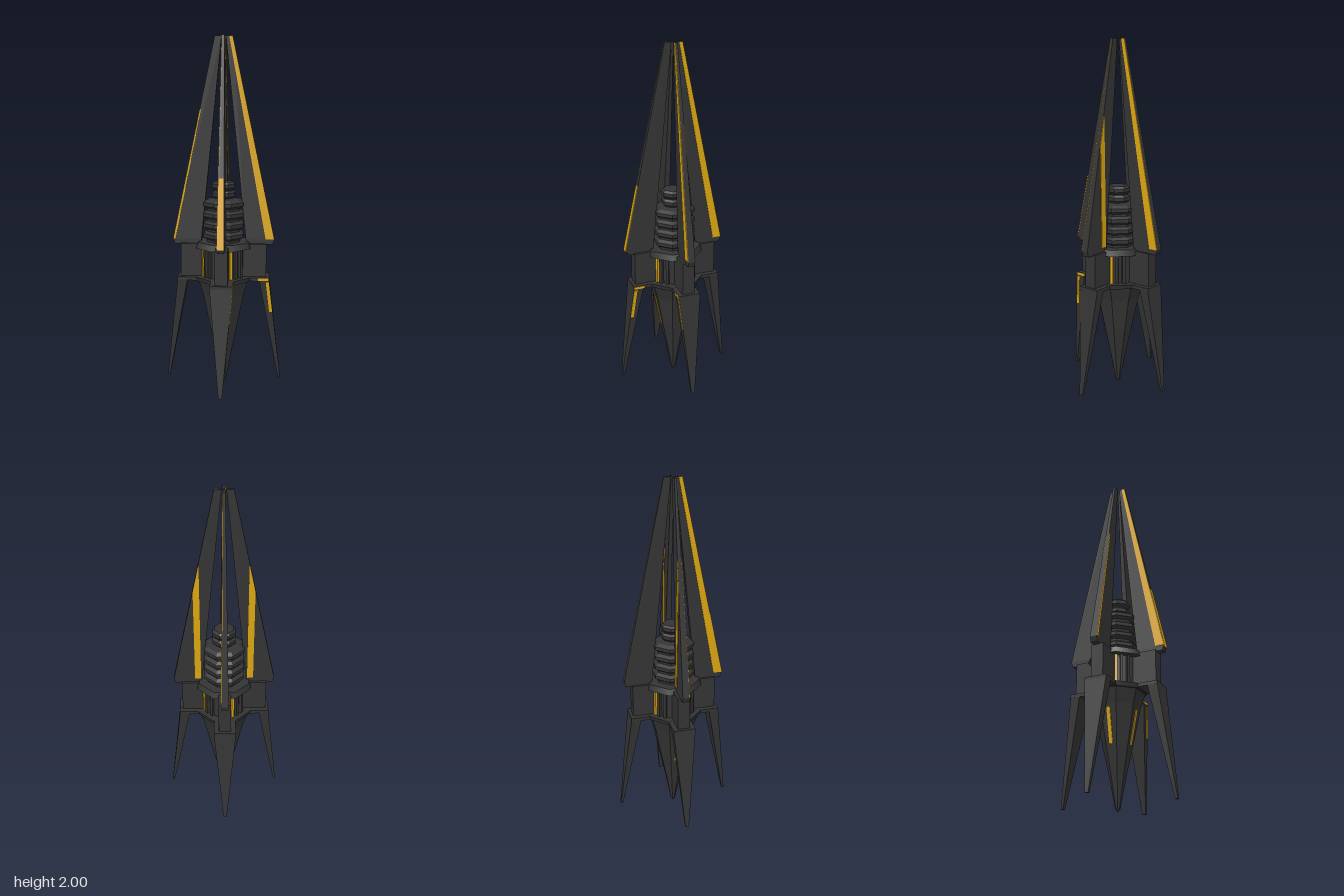
import * as THREE from 'three';

const dark = new THREE.MeshStandardMaterial({ color: 0x343434 });
const gold = new THREE.MeshStandardMaterial({ color: 0xdaa510 });
dark.name = 'charcoal';
gold.name = 'gold';

function add(parent, name, geometry, material) {
  const mesh = new THREE.Mesh(geometry, material);
  mesh.name = name;
  parent.add(mesh);
  return mesh;
}

// Box from inner to outer radius (x), between heights y0..y1 and sides t0..t1 (z)
function block(r0, r1, y0, y1, t0, t1) {
  return new THREE.BoxGeometry(r1 - r0, y1 - y0, t1 - t0)
    .translate((r0 + r1) / 2, (y0 + y1) / 2, (t0 + t1) / 2);
}

// Tapered solid through rectangles [y, r0, r1, t0, t1], listed from bottom to top
function loft(sections) {
  const rings = sections.map(([y, r0, r1, t0, t1]) =>
    [[r0, y, t1], [r1, y, t1], [r1, y, t0], [r0, y, t0]]);
  const pos = [];
  const quad = (a, b, c, d) => pos.push(...a, ...b, ...c, ...a, ...c, ...d);
  for (let i = 0; i + 1 < rings.length; i++) {
    for (let k = 0; k < 4; k++) {
      const n = (k + 1) % 4;
      quad(rings[i][k], rings[i][n], rings[i + 1][n], rings[i + 1][k]);
    }
  }
  const [a, b, c, d] = rings[0];
  quad(d, c, b, a);
  quad(...rings[rings.length - 1]);
  const g = new THREE.BufferGeometry();
  g.setAttribute('position', new THREE.Float32BufferAttribute(pos, 3));
  g.computeVertexNormals();
  return g;
}

// Eight-sided flat-shaded turned part
function octagonal(points) {
  const g = new THREE.LatheGeometry(points.map(([r, y]) => new THREE.Vector2(r, y)), 8).toNonIndexed();
  g.computeVertexNormals();
  return g;
}

// Spire edges and half thickness at a height
const { lerp, mapLinear } = THREE.MathUtils;
const outer = (y) => mapLinear(y, 0.87, 2, 0.29, 0.05);
const inner = (y) => mapLinear(y, 0.84, 2, 0.13, 0.012);
const half = (y) => mapLinear(y, 0.84, 2, 0.02, 0.006);

// Thin plate on one side of a spire; rows are [y, r0, r1]
function sidePlate(side, rows) {
  return loft(rows.map(([y, r0, r1]) => {
    const a = half(y) - 0.001, b = half(y) + 0.003;
    return side > 0 ? [y, r0, r1, a, b] : [y, r0, r1, -b, -a];
  }));
}
const edgeStrip = (side, y1, w0, w1) => sidePlate(side, [
  [0.87, outer(0.87) - w0, outer(0.87)],
  [y1, outer(y1) - w1, outer(y1)],
]);
const uprightBar = (side) => sidePlate(side, [
  [0.87, 0.133, 0.168],
  [1.44, 0.133, 0.168],
  [1.59, 0.133, 0.136],
]);

// Foot dimensions at a height
function footRow(y) {
  const k = (0.64 - y) / 0.6;
  return { r0: lerp(0.205, 0.32, k), r1: lerp(0.262, 0.333, k), w: lerp(0.063, 0.01, k) };
}

function createArm(kind) {
  const arm = new THREE.Group();
  arm.name = kind + 'Arm';

  // Upper spire
  add(arm, 'spire', loft([0.84, 0.87, 2].map((y) =>
    [y, inner(y), y < 0.85 ? 0.28 : outer(y), -half(y), half(y)])), dark);

  // Arm body, flange and tapering foot
  add(arm, 'armBody', block(0.1, 0.245, 0.65, 0.845, -0.035, 0.035), dark);
  add(arm, 'flange', block(0.1, 0.262, 0.635, 0.655, -0.063, 0.063), dark);
  add(arm, 'foot', loft([0.04, 0.64].map((y) => {
    const f = footRow(y);
    return [y, f.r0, f.r1, -f.w, f.w];
  })), dark);

  // Gold trim on the spires
  if (kind === 'left') {
    add(arm, 'uprightBar', uprightBar(1), gold);
    add(arm, 'edgeTrim', edgeStrip(-1, 1.6, 0.014, 0.008), gold);
  } else {
    add(arm, 'edgeStrip', edgeStrip(1, 2, 0.05, 0.02), gold);
  }
  if (kind === 'right') add(arm, 'uprightBar', uprightBar(-1), gold);
  if (kind === 'front') {
    add(arm, 'outerPanel', loft([0.86, 1.24].map((y) =>
      [y, outer(y) - 0.002, outer(y) + 0.003, -half(y), half(y)])), gold);
  }

  // Gold trim on the foot
  if (kind === 'right' || kind === 'front') {
    const s = kind === 'right' ? 1 : -1;
    add(arm, 'footTrim', loft([0.45, 0.63].map((y) => {
      const f = footRow(y), a = s * (f.w - 0.001), b = s * (f.w + 0.003);
      return [y, f.r1 - 0.02, f.r1 - 0.002, Math.min(a, b), Math.max(a, b)];
    })), gold);
    add(arm, 'flangeTrim', block(0.2, 0.26, 0.638, 0.652, s > 0 ? 0.062 : -0.066, s > 0 ? 0.066 : -0.062), gold);
  }
  return arm;
}

export function createModel() {
  const model = new THREE.Group();
  model.name = 'spireTower';

  // Central hub: recessed drum between two octagonal plates
  add(model, 'hubDrum', new THREE.CylinderGeometry(0.12, 0.12, 0.19, 8).translate(0, 0.74, 0), dark);
  add(model, 'hubBase', new THREE.CylinderGeometry(0.167, 0.16, 0.025, 8).translate(0, 0.643, 0), dark);
  add(model, 'hubTop', new THREE.CylinderGeometry(0.155, 0.167, 0.035, 8).translate(0, 0.84, 0), dark);

  // Pointed keel below
  add(model, 'keel', octagonal([[0, 0], [0.013, 0.015], [0.045, 0.18], [0.085, 0.36],
    [0.125, 0.55], [0.152, 0.635]]), dark);

  // Ribbed core, wide ribs then narrow ribs
  const profile = [[0.1, 0.85]];
  for (let i = 0; i < 4; i++) {
    const y = 0.87 + i * 0.06;
    profile.push([0.1, y], [0.122, y + 0.014], [0.122, y + 0.034], [0.1, y + 0.048]);
  }
  for (let i = 0; i < 2; i++) {
    const y = 1.105 + i * 0.05;
    profile.push([0.058, y], [0.07, y + 0.012], [0.07, y + 0.032], [0.058, y + 0.044]);
  }
  profile.push([0, 1.2]);
  add(model, 'ribbedCore', octagonal(profile), dark);

  // Four arms, each a quarter turn apart
  ['right', 'back', 'left', 'front'].forEach((kind, i) => {
    const angle = Math.PI / 8 + i * Math.PI / 2;
    const arm = createArm(kind);
    arm.rotation.y = angle;
    model.add(arm);

    // Uprights around the drum, one of them gold
    [22.5, 36, 54].forEach((deg, k) => {
      const bar = add(model, k ? 'hubSlat' : 'hubGoldBar',
        block(0.105, 0.13, 0.655, 0.825, -0.008, 0.008), k ? dark : gold);
      bar.rotation.y = angle + THREE.MathUtils.degToRad(deg);
    });
  });

  // Gold stripes lying on the keel
  [['front', -Math.PI * 0.375], ['left', Math.PI * 1.125]].forEach(([side, angle]) => {
    const stripe = add(model, side + 'KeelStripe', loft([
      [0.34, 0.072, 0.079, -0.01, 0.01],
      [0.53, 0.108, 0.116, -0.01, 0.01],
    ]), gold);
    stripe.rotation.y = angle;
  });
  return model;
}
